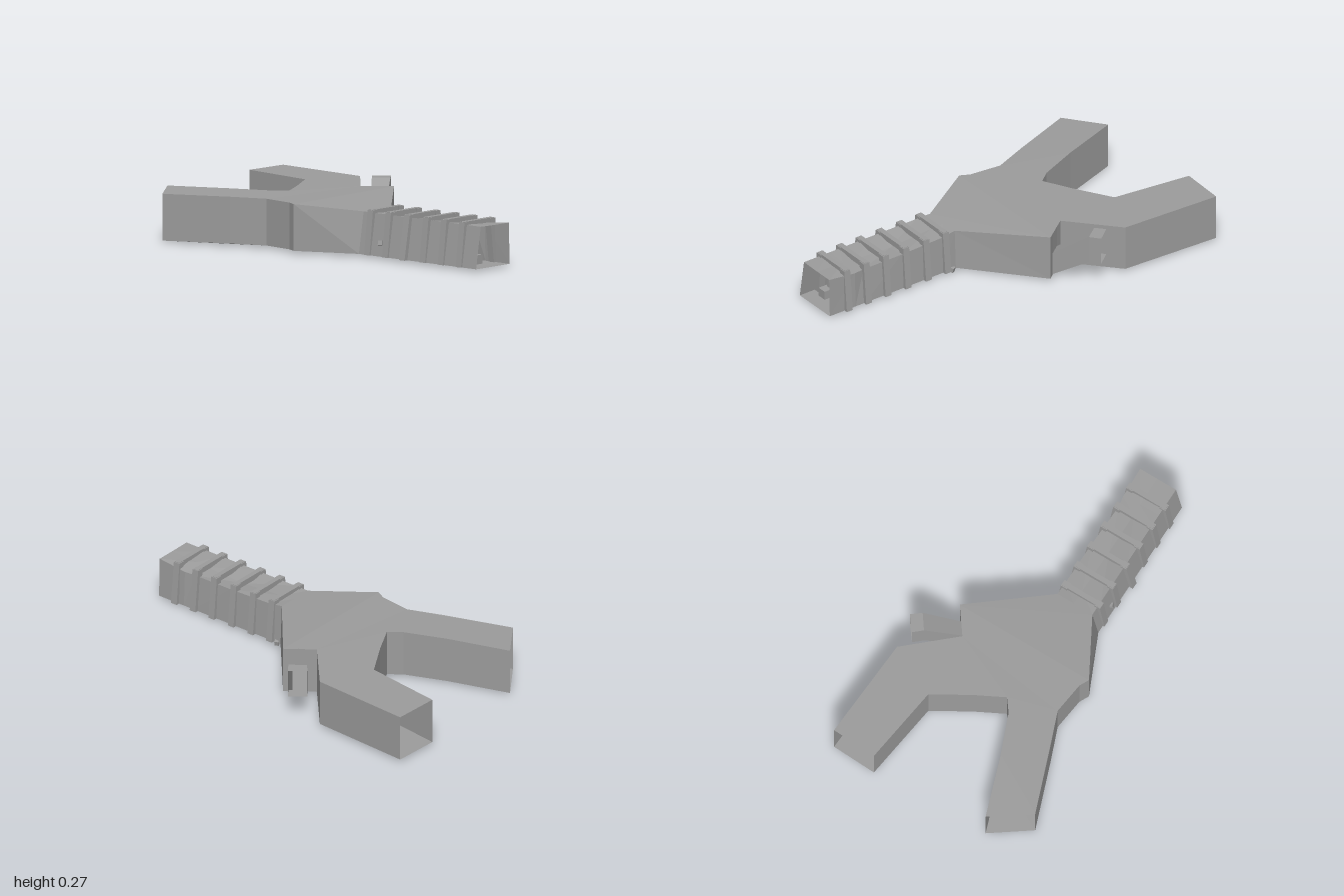
import * as THREE from 'three';

const stone = new THREE.MeshStandardMaterial({ color: 0x9c9c9c, side: THREE.DoubleSide });
stone.name = 'greyStone';

// Flat-faced mesh from a list of polygons (each a short fan of [x,y,z] corners)
function sheet(name, polys) {
  const pos = [];
  for (const p of polys)
    for (let i = 1; i < p.length - 1; i++) pos.push(...p[0], ...p[i], ...p[i + 1]);
  const g = new THREE.BufferGeometry();
  g.setAttribute('position', new THREE.Float32BufferAttribute(pos, 3));
  g.computeVertexNormals();
  const m = new THREE.Mesh(g, stone);
  m.name = name;
  return m;
}

// Open-ended tube through matching cross-sections
function loft(name, sections) {
  const polys = [];
  for (let s = 0; s < sections.length - 1; s++) {
    const a = sections[s], b = sections[s + 1];
    a.forEach((p, i) => {
      const j = (i + 1) % a.length;
      polys.push([p, b[i], b[j], a[j]]);
    });
  }
  return sheet(name, polys);
}

// Ear-clipped horizontal polygon; points are [x,y,z]
function slab(name, pts, up) {
  const tris = THREE.ShapeUtils.triangulateShape(pts.map(p => new THREE.Vector2(p[0], p[2])), []);
  return sheet(name, tris.map(t => {
    const [a, b, c] = t.map(i => pts[i]);
    const ny = (b[2] - a[2]) * (c[0] - a[0]) - (b[0] - a[0]) * (c[2] - a[2]);
    return (ny > 0) === up ? [a, b, c] : [a, c, b];
  }));
}

// Timber cut to an xy outline, centred on z
function timber(name, outline, z, depth) {
  const shape = new THREE.Shape(outline.map(p => new THREE.Vector2(...p)));
  const g = new THREE.ExtrudeGeometry(shape, { depth, bevelEnabled: false });
  g.translate(0, 0, z - depth / 2);
  const m = new THREE.Mesh(g, stone);
  m.name = name;
  return m;
}

// Square bar between two points
function bar(name, a, b, w, h) {
  const p = new THREE.Vector3(...a), q = new THREE.Vector3(...b);
  const m = new THREE.Mesh(new THREE.BoxGeometry(w, h, p.distanceTo(q)), stone);
  m.position.copy(p).add(q).multiplyScalar(0.5);
  m.lookAt(q);
  m.name = name;
  return m;
}

export function createModel() {
  const model = new THREE.Group();
  model.name = 'forkedTunnel';
  const floorY = 0.02;

  // Chamber and two branches: plan outline as x, z, roof height
  const plan = [
    [-0.22, 0.22, 0.23], [-0.395, -0.09, 0.255], [-0.37, -0.14, 0.255], [-0.35, -0.31, 0.255],
    [-0.42, -0.49, 0.255], [-0.545, -0.83, 0.25], [-0.345, -0.975, 0.255], [-0.235, -0.66, 0.26],
    [-0.15, -0.45, 0.26], [-0.1, -0.385, 0.26], [0.05, -0.465, 0.26], [0.24, -0.58, 0.26],
    [0.295, -1.0, 0.26], [0.535, -0.99, 0.26], [0.505, -0.45, 0.26], [0.26, -0.23, 0.26],
    [0.36, -0.095, 0.26], [-0.015, 0.22, 0.23],
  ];
  const last = plan.length - 1;
  const top = plan.map(([x, z, y]) => [x, y, z]);
  const low = plan.map(([x, z], i) =>
    [i === 0 ? -0.255 : i === last ? -0.005 : x, i === 5 || i === 6 ? 0.015 : floorY, z]);
  model.add(slab('chamberFloor', low, false));
  model.add(slab('chamberRoof', top.slice(1, last), true));
  model.add(slab('slopingRoof', [top[0], top[1], top[last - 1], top[last]], true));

  // Walls, leaving the two branch ends, side passage and corridor open
  const open = [5, 12, 15, last];
  const walls = [];
  for (let i = 0; i < last; i++)
    if (!open.includes(i)) walls.push([low[i], top[i], top[i + 1], low[i + 1]]);
  // Wall pieces framing the side passage
  const [sA, sB] = [[0.285, -0.19], [0.33, -0.13]];
  const at = (p, y) => [p[0], y, p[1]];
  walls.push([low[15], top[15], at(sA, 0.26), at(sA, floorY)]);
  walls.push([at(sA, 0.14), at(sA, 0.26), at(sB, 0.26), at(sB, 0.14)]);
  walls.push([at(sB, floorY), at(sB, 0.26), top[16], low[16]]);
  model.add(sheet('chamberWalls', walls));

  // Side passage climbing to a level mouth
  const passage = [
    [sA, sB, 0.02, 0.14],
    [[0.435, -0.31], [0.49, -0.235], 0.13, 0.275],
    [[0.48, -0.35], [0.54, -0.275], 0.13, 0.275],
  ].map(([a, b, y0, y1]) => [at(a, y0), at(a, y1), at(b, y1), at(b, y0)]);
  model.add(loft('sidePassage', passage));

  // Entrance corridor: z, roof middle height, right roof height, right roof x
  const corridor = [
    [1, 0.228, 0.228, -0.01], [0.84, 0.222, 0.208, -0.012], [0.78, 0.215, 0.205, -0.022],
    [0.55, 0.205, 0.21, -0.015], [0.3, 0.222, 0.218, -0.015], [0.22, 0.23, 0.23, -0.015],
  ].map(([z, ym, yr, xr]) => [
    [-0.255, floorY, z], [-0.22, 0.23, z], [-0.11, ym, z], [xr, yr, z], [-0.005, floorY, z],
  ]);
  model.add(loft('corridor', corridor.reverse()));

  // Timber frames along the corridor
  [0.28, 0.4, 0.525, 0.65, 0.77, 0.89].forEach((z, i) => {
    const frame = new THREE.Group();
    frame.name = 'supportFrame' + (i + 1);
    const out = i === 2 ? -0.277 : -0.264;
    frame.add(timber('leftPost', [[out, 0.02], [-0.22, 0.02], [-0.203, 0.244], [-0.238, 0.244]], z, 0.036));
    frame.add(timber('rightPost', [[-0.018, 0.02], [0.014, 0.02], [-0.008, 0.244], [-0.045, 0.244]], z, 0.036));
    frame.add(timber('crossBeam', [[-0.235, 0.216], [-0.012, 0.216], [-0.012, 0.246], [-0.235, 0.246]], z, 0.026));
    model.add(frame);
  });

  // Fallen planks at the far end of the corridor
  model.add(bar('fallenPlank', [-0.255, 0.09, 0.36], [0.005, 0.018, 0.238], 0.022, 0.024));
  model.add(bar('loosePlank', [-0.11, 0.065, 0.27], [-0.025, 0.045, 0.3], 0.02, 0.022));

  // Block and stake just inside the mouth
  const block = new THREE.Mesh(new THREE.BoxGeometry(0.05, 0.046, 0.05), stone);
  block.position.set(-0.16, 0.052, 0.91);
  block.name = 'block';
  model.add(block);
  model.add(bar('stake', [-0.156, 0.03, 0.88], [-0.156, 0.142, 0.875], 0.03, 0.03));

  return model;
}
